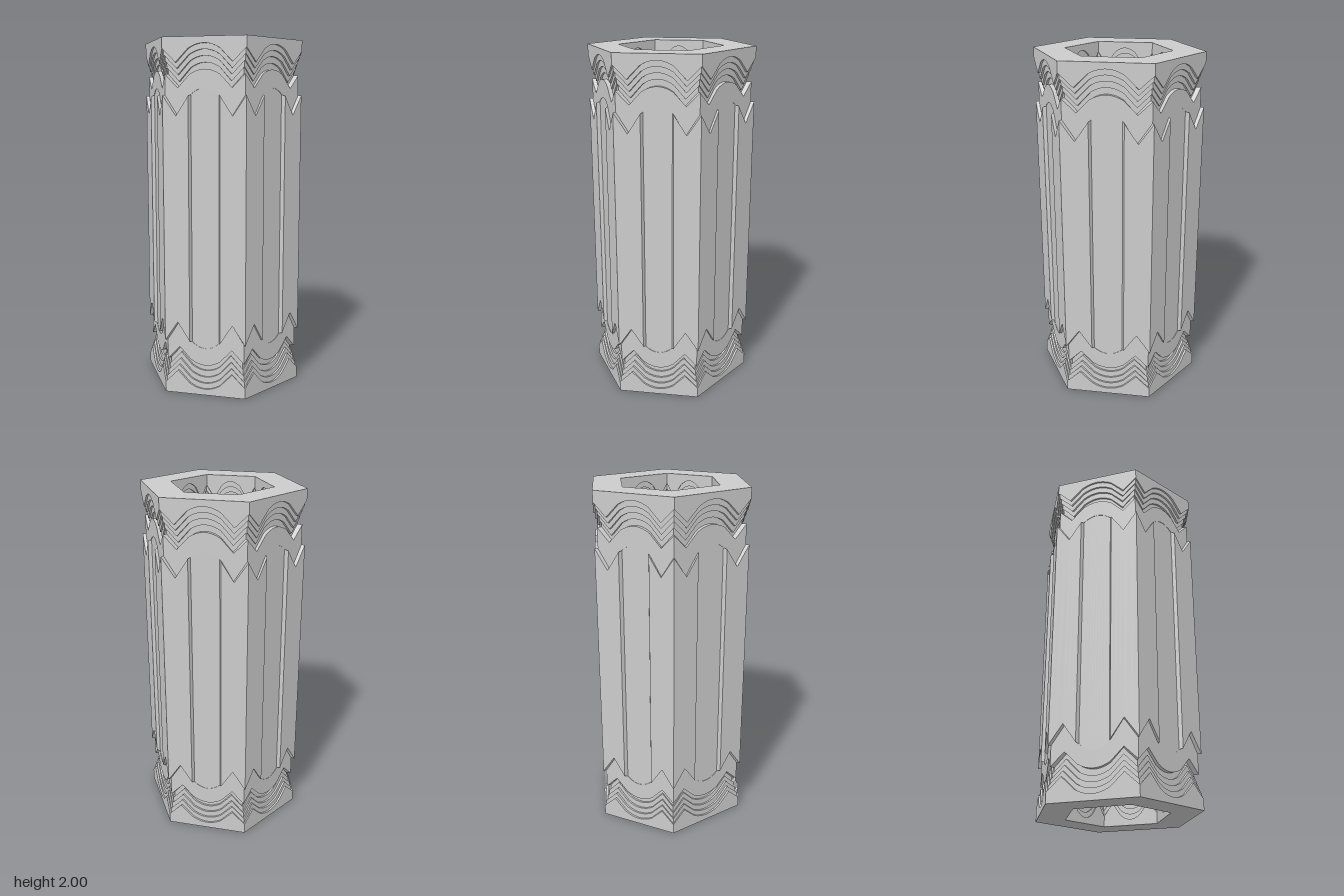
import * as THREE from 'three';

const HEIGHT = 2;
// Hexagon corners as [x of side, z of side, z of point]
const OUTER = [0.405, 0.251, 0.485];
const INNER = [0.25, 0.16, 0.303];

// Stations along one hexagon face; panel = 1 on the sunken middle panel
const stations = [0, 0.08, 0.16, 0.21, 0.26, 0.31].map(s => ({ s, panel: 0 }));
for (let i = 0; i <= 10; i++) stations.push({ s: 0.325 + 0.035 * i, panel: 1 });
[0.69, 0.74, 0.79, 0.84, 0.92].forEach(s => stations.push({ s, panel: 0 }));

// Scalloped edge: a raised arc in the middle, a V on each side, a peak at the corner
function scallop(s) {
  const t = Math.min(s, 1 - s);
  if (t < 0.16) return THREE.MathUtils.lerp(-0.26, -1, t / 0.16);
  if (t < 0.31) return THREE.MathUtils.lerp(-1, -0.28, (t - 0.16) / 0.15);
  const u = (0.5 - t) / 0.19;
  return -0.28 * u * u;
}

// Upper-half edges: height of the arc, depth of the V, inset below and above the edge
const edges = [
  { y: 1.73, drop: 0.15, below: 0, above: 0.017 },
  { y: 1.83, drop: 0.1, below: 0.017, above: 0.04 },
  { y: 1.865, drop: 0.1, below: 0.04, above: 0.03 },
  { y: 1.9, drop: 0.1, below: 0.03, above: 0.02 },
  { y: 1.933, drop: 0.1, below: 0.02, above: 0.01 },
  { y: 1.965, drop: 0.1, below: 0.01, above: 0 },
];

// Profile from bottom to top: points of height, V depth, inset and shaft flag
const upper = edges.flatMap((e, i) => [
  { y: e.y, drop: e.drop, inset: e.below, shaft: i === 0 },
  { y: e.y, drop: e.drop, inset: e.above },
]);
upper.push({ y: HEIGHT, drop: 0, inset: 0 });
const lower = upper.map(p => ({ ...p, y: HEIGHT - p.y, drop: -p.drop })).reverse();
const wall = [...lower, ...upper];

function hexCorners([x, h, z]) {
  return [[0, z], [x, h], [x, -h], [0, -z], [-x, -h], [-x, h]].map(c => new THREE.Vector2(...c));
}

// Sweep a profile around the hexagon; a negative direction insets outward for the bore
function sweep(name, profile, material) {
  const rows = [];
  for (let f = 0; f < 6; f++) {
    for (const { s, panel } of stations) {
      rows.push(profile.map(p => {
        const hex = p.bore ? INNER : OUTER;
        const corners = hexCorners(hex);
        const inset = p.shaft && panel ? 0.019 : p.inset;
        const scale = 1 + (p.bore ? inset : -inset) / hex[0];
        const v = corners[f].clone().lerp(corners[(f + 1) % 6], s).multiplyScalar(scale);
        return [v.x, p.y + p.drop * scallop(s), v.y];
      }));
    }
  }
  const positions = [];
  rows.forEach((a, i) => {
    const b = rows[(i + 1) % rows.length];
    for (let j = 0; j + 1 < profile.length; j++) {
      positions.push(...a[j], ...b[j], ...b[j + 1], ...a[j], ...b[j + 1], ...a[j + 1]);
    }
  });
  const geometry = new THREE.BufferGeometry();
  geometry.setAttribute('position', new THREE.Float32BufferAttribute(positions, 3));
  geometry.computeVertexNormals();
  const mesh = new THREE.Mesh(geometry, material);
  mesh.name = name;
  return mesh;
}

export function createModel() {
  const group = new THREE.Group();
  group.name = 'hexagonalColumn';
  const material = new THREE.MeshStandardMaterial({ color: 0xcccccc, flatShading: true });
  const bore = wall.map(p => ({ ...p, bore: true })).reverse();
  const rim = (y, bore) => ({ y, drop: 0, inset: 0, bore });

  // Outer wall with stepped scalloped ends, and the matching wall of the bore
  group.add(sweep('outerWall', wall, material));
  group.add(sweep('innerWall', bore, material));
  // Flat hexagonal rims at both ends
  group.add(sweep('topRim', [rim(HEIGHT, false), rim(HEIGHT, true)], material));
  group.add(sweep('bottomRim', [rim(0, true), rim(0, false)], material));
  return group;
}
